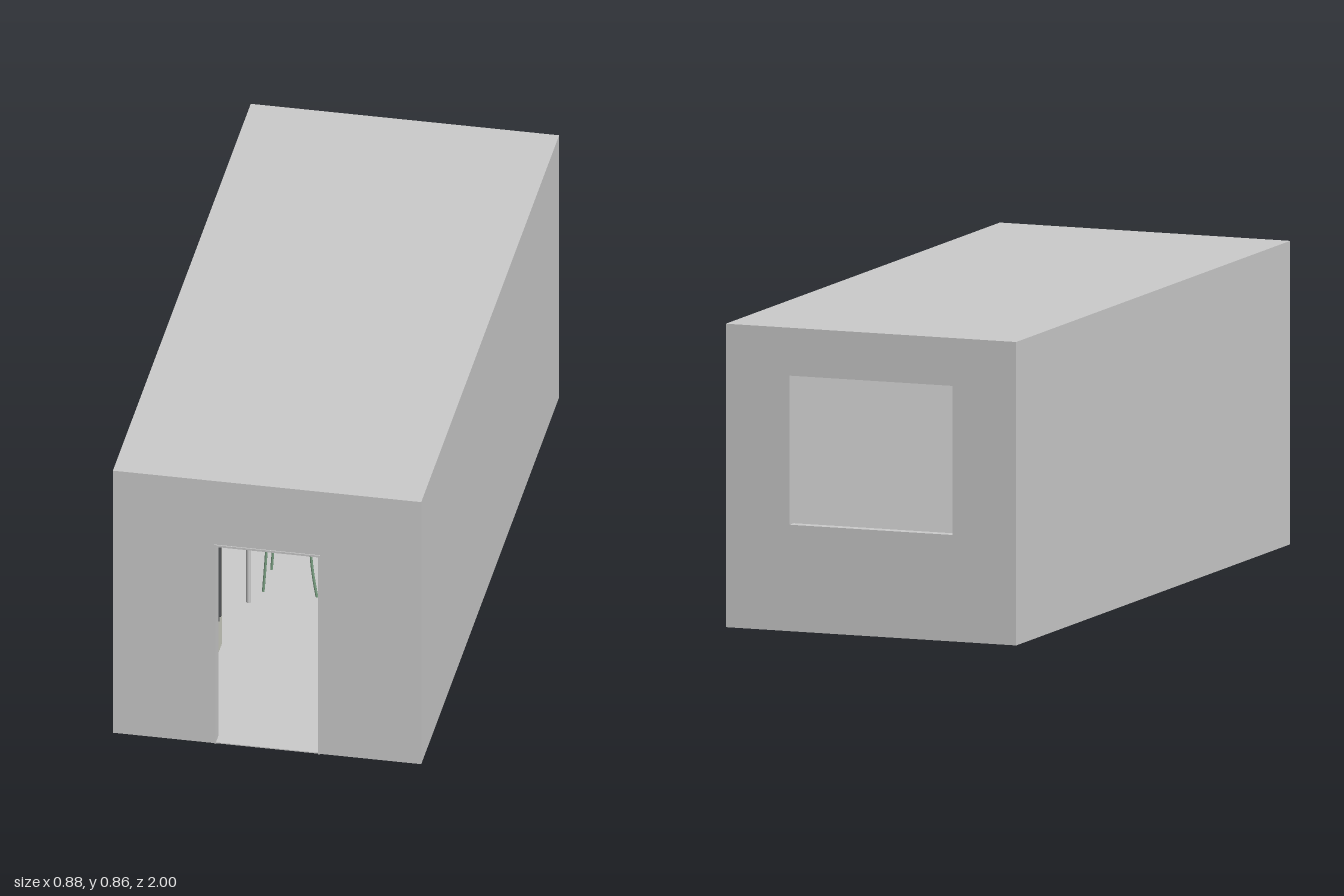
import * as THREE from 'three';
import { RoundedBoxGeometry } from 'three/addons/geometries/RoundedBoxGeometry.js';

const material = (color = 0xcccccc) => new THREE.MeshStandardMaterial({ color, side: THREE.DoubleSide });
const grey = material();
const green = material(0x7fa587);
const brown = material(0x6b6058);
const cream = material(0xcfd0c4);
const dark = material(0x55575a);

// Room size, wall thickness and the z of the two end walls
const W = 0.875, H = 0.855, T = 0.03, FRONT = 0.997, BACK = -1;

function add(parent, name, geometry, mat, x = 0, y = 0, z = 0) {
  const mesh = new THREE.Mesh(geometry, mat);
  mesh.name = name;
  mesh.position.set(x, y, z);
  parent.add(mesh);
  return mesh;
}

// Box given by its min and max corners
function block(parent, name, mat, [x0, y0, z0], [x1, y1, z1], radius = 0) {
  const size = [x1 - x0, y1 - y0, z1 - z0];
  const geometry = radius ? new RoundedBoxGeometry(...size, 3, radius) : new THREE.BoxGeometry(...size);
  return add(parent, name, geometry, mat, (x0 + x1) / 2, (y0 + y1) / 2, (z0 + z1) / 2);
}

function group(parent, name) {
  const g = new THREE.Group();
  g.name = name;
  parent.add(g);
  return g;
}

const polygon = (points) => points.map(([x, y]) => new THREE.Vector2(x, y));
const extrude = (shape, depth) => new THREE.ExtrudeGeometry(shape, { depth, bevelEnabled: false });

function buildShell(parent) {
  const shell = group(parent, 'room');
  const h = W / 2;
  // Front wall outline runs around the doorway
  const front = new THREE.Shape(polygon([
    [-h, 0], [-0.148, 0], [-0.148, 0.645], [0.148, 0.645], [0.148, 0], [h, 0], [h, H], [-h, H],
  ]));
  add(shell, 'frontWall', extrude(front, T), grey, 0, 0, FRONT - T);
  // Back wall with the window opening
  const back = new THREE.Shape(polygon([[-h, 0], [h, 0], [h, H], [-h, H]]));
  back.holes.push(new THREE.Path(polygon([[-0.245, 0.3], [-0.245, 0.72], [0.245, 0.72], [0.245, 0.3]])));
  add(shell, 'backWall', extrude(back, T), grey, 0, 0, BACK);
  const z0 = BACK + T, z1 = FRONT - T;
  for (const s of [-1, 1]) {
    add(shell, s < 0 ? 'rightWall' : 'leftWall', new THREE.BoxGeometry(T, H, z1 - z0), grey,
      s * (h - T / 2), H / 2, (z0 + z1) / 2);
  }
  block(shell, 'roof', grey, [-h + T, H - 0.02, z0], [h - T, H, z1]);
  block(shell, 'floor', grey, [-h + T, 0, z0], [h - T, 0.003, z1]);
  block(shell, 'threshold', grey, [-0.148, 0, z1], [0.148, 0.003, FRONT]);
  // Thin door frame standing slightly proud of the wall
  const frame = new THREE.Shape(polygon([
    [-0.15, 0], [-0.145, 0], [-0.145, 0.642], [0.145, 0.642], [0.145, 0], [0.15, 0], [0.15, 0.648], [-0.15, 0.648],
  ]));
  add(shell, 'doorFrame', extrude(frame, 0.04), grey, 0, 0, 0.96);
}

// Four legs at the corners of a rectangle
function legs(parent, mat, xs, zs, height, radius) {
  for (const x of xs) for (const z of zs) {
    add(parent, 'leg', new THREE.CylinderGeometry(radius, radius, height, 12), mat, x, height / 2, z);
  }
}

function buildBed(parent) {
  const bed = group(parent, 'bed');
  legs(bed, brown, [-0.36, 0.16], [-0.91, -0.555], 0.042, 0.008);
  block(bed, 'bedBase', brown, [-0.405, 0.04, -0.965], [0.208, 0.076, -0.51], 0.006);
  block(bed, 'mattress', grey, [-0.405, 0.075, -0.965], [0.208, 0.146, -0.51], 0.015);
}

function buildTable(parent) {
  const table = group(parent, 'table');
  legs(table, grey, [-0.395, -0.2], [-0.26, 0.243], 0.228, 0.007);
  block(table, 'tableTop', grey, [-0.407, 0.226, -0.275], [-0.185, 0.24, 0.258]);
}

// Chair facing -x; its origin is on the floor below the rear edge of the seat
function buildChair(parent, x, z) {
  const chair = group(parent, 'chair');
  chair.position.set(x, 0, z);
  const curve = (points) => new THREE.CatmullRomCurve3(points.map((p) => new THREE.Vector3(...p)));
  for (const s of [-1, 1]) {
    const rear = curve([[0.018, 0, s * 0.06], [0.007, 0.07, s * 0.06], [0, 0.15, s * 0.06],
      [0.002, 0.21, s * 0.06], [0.009, 0.26, s * 0.06], [0.02, 0.3, s * 0.06]]);
    add(chair, 'rearLegAndUpright', new THREE.TubeGeometry(rear, 20, 0.004, 6), green);
    const front = curve([[-0.135, 0, s * 0.06], [-0.13, 0.07, s * 0.06], [-0.125, 0.15, s * 0.06]]);
    add(chair, 'frontLeg', new THREE.TubeGeometry(front, 8, 0.004, 6), green);
  }
  const seat = block(chair, 'seat', green, [-0.13, 0.147, -0.062], [0.002, 0.156, 0.062], 0.003);
  seat.rotation.z = -0.04;
  // Curved slats across the back
  for (const [y, dx] of [[0.235, 0.006], [0.262, 0.01], [0.29, 0.017]]) {
    const slat = curve([[dx, y, -0.06], [dx + 0.008, y, 0], [dx, y, 0.06]]);
    add(chair, 'backSlat', new THREE.TubeGeometry(slat, 12, 0.005, 6), green);
  }
}

function buildFridge(parent) {
  const fridge = group(parent, 'fridge');
  const z0 = 0.494, z1 = 0.738, mid = (z0 + z1) / 2, top = 0.57;
  block(fridge, 'cabinet', cream, [-0.405, 0.002, z0], [-0.256, top, z1]);
  block(fridge, 'doorLeft', cream, [-0.253, 0.012, z0], [-0.226, top, mid - 0.002], 0.005);
  block(fridge, 'doorRight', cream, [-0.253, 0.012, mid + 0.002], [-0.226, top, z1], 0.005);
  for (const s of [-1, 1]) {
    const z = mid + s * 0.013;
    block(fridge, 'handle', dark, [-0.214, 0.17, z - 0.004], [-0.207, 0.44, z + 0.004], 0.002);
    for (const y of [0.18, 0.43]) {
      block(fridge, 'handleMount', dark, [-0.228, y - 0.004, z - 0.003], [-0.21, y + 0.004, z + 0.003]);
    }
  }
  block(fridge, 'dispenser', dark, [-0.23, 0.25, 0.645], [-0.224, 0.335, 0.7]);
  block(fridge, 'dispenserPanel', grey, [-0.23, 0.31, 0.65], [-0.222, 0.33, 0.695]);
}

export function createModel() {
  const model = new THREE.Group();
  model.name = 'furnishedRoom';
  buildShell(model);
  buildBed(model);
  buildTable(model);
  buildFridge(model);
  buildChair(model, -0.036, 0.12);
  buildChair(model, -0.149, -0.13);
  return model;
}
